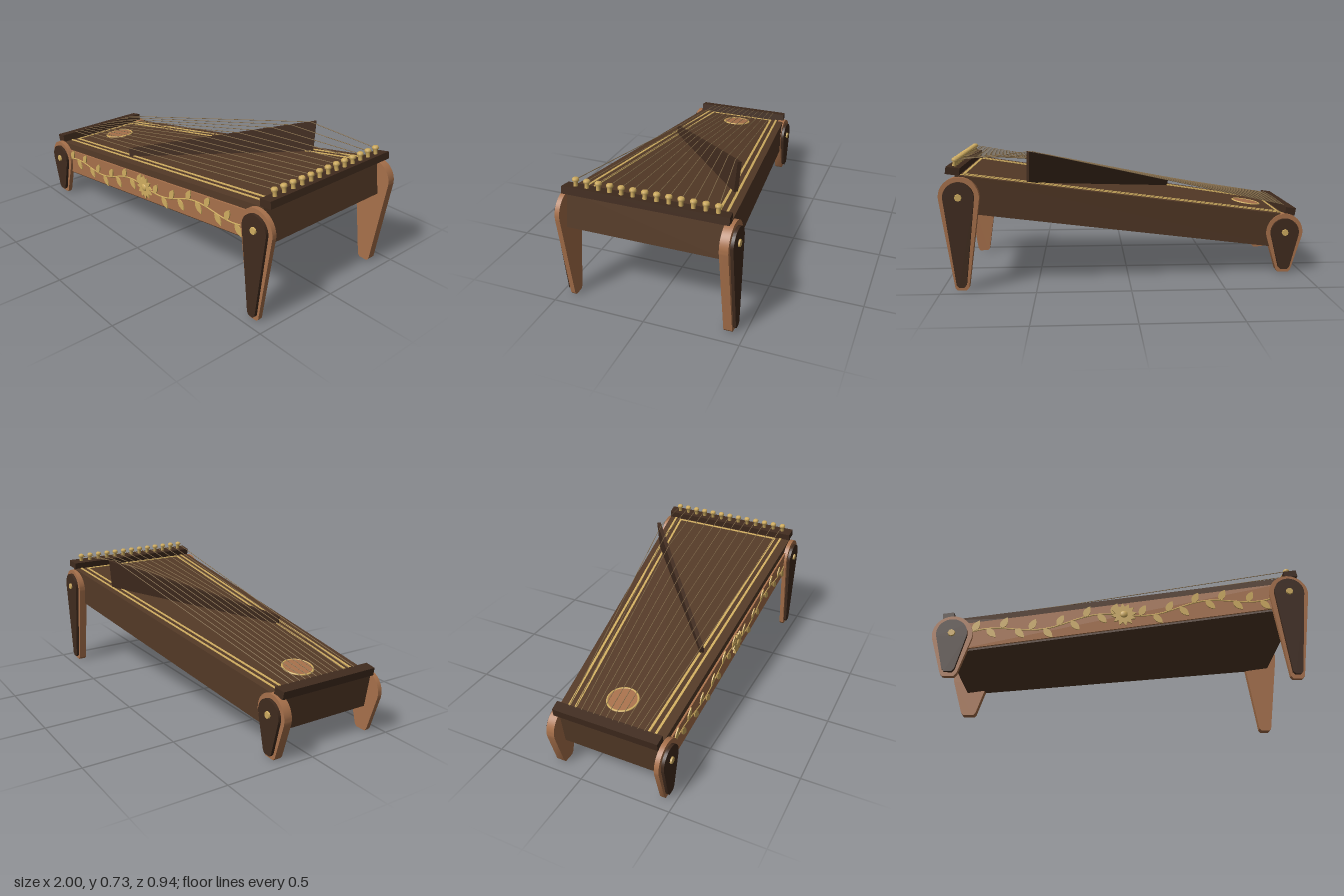
import * as THREE from 'three';
import { toCreasedNormals } from 'three/addons/utils/BufferGeometryUtils.js';

const mat = (name, color) => {
  const m = new THREE.MeshStandardMaterial({ color });
  m.name = name;
  return m;
};

export function createModel() {
  const wood = mat('walnut', 0x543a27);
  const dark = mat('dark walnut', 0x402b1e);
  const light = mat('light wood', 0xa8714b);
  const gold = mat('brass', 0xd0ad60);
  const wire = mat('string bronze', 0x8c7350);

  const model = new THREE.Group();
  model.name = 'zither';
  const body = new THREE.Group(); // sloping sound box and all it carries
  body.name = 'slopingBody';
  body.position.y = 0.375;
  body.rotation.z = 0.153;
  model.add(body);

  const add = (parent, name, geo, material, x = 0, y = 0, z = 0) => {
    const m = new THREE.Mesh(geo, material);
    m.name = name;
    m.position.set(x, y, z);
    parent.add(m);
    return m;
  };
  const extrude = (shape, depth) => toCreasedNormals(
    new THREE.ExtrudeGeometry(shape, { depth, bevelEnabled: false, curveSegments: 16 }), 0.5);
  const polygon = pts => new THREE.Shape(pts.map(p => new THREE.Vector2(...p)));

  const H = 0.097, FRONT = 0.42;
  const backZ = x => -0.295 - 0.138 * x;

  // Sound box and end bars: flat outlines raised upward
  const slab = (name, x0, x1, y0, y1, material) => {
    const g = extrude(polygon([[x0, -FRONT], [x1, -FRONT], [x1, -backZ(x1)], [x0, -backZ(x0)]]), y1 - y0);
    add(body, name, g.rotateX(-Math.PI / 2), material, 0, y0);
  };
  slab('soundBox', -0.935, 0.935, -H, H, wood);
  slab('leftBar', -0.953, -0.893, H, 0.14, dark);
  slab('tuningBar', 0.915, 0.985, H, 0.135, dark);
  add(body, 'frontPanel', new THREE.BoxGeometry(1.8, 0.145, 0.01), light, 0, -0.014, FRONT + 0.005);

  // Inlaid lines on the soundboard
  const strip = (x0, z0, x1, z1) => {
    const len = Math.hypot(x1 - x0, z1 - z0);
    const m = add(body, 'inlay', new THREE.BoxGeometry(len + 0.012, 0.004, 0.013), gold,
      (x0 + x1) / 2, H + 0.001, (z0 + z1) / 2);
    m.rotation.y = -Math.atan2(z1 - z0, x1 - x0);
  };
  strip(-0.895, 0.364, 0.91, 0.364);
  strip(-0.895, -0.122, 0.91, -0.38);
  const corners = [[-0.87, 0.327], [0.9, 0.327], [0.9, -0.34], [-0.87, -0.088]];
  corners.forEach((c, i) => strip(...c, ...corners[(i + 1) % 4]));

  // Sound rosette
  add(body, 'rosette', new THREE.CylinderGeometry(0.078, 0.078, 0.005, 40), light, -0.725, H + 0.001, 0.107);
  add(body, 'rosetteRing', new THREE.TorusGeometry(0.08, 0.006, 8, 40).rotateX(Math.PI / 2), gold, -0.725, H, 0.107);

  // Diagonal wedge bridge, rising towards the back
  const A = new THREE.Vector2(-0.26, 0.336), B = new THREE.Vector2(0.567, -0.32);
  const L = A.distanceTo(B), h0 = 0.045, h1 = 0.166;
  const wedge = extrude(polygon([[0, 0], [L, 0], [L + 0.025, h1], [0, h0]]), 0.022).translate(0, 0, -0.011);
  add(body, 'bridge', wedge, dark, A.x, H, A.y).rotation.y = -Math.atan2(B.y - A.y, B.x - A.x);

  // Thirteen strings and tuning pins
  const pin = new THREE.LatheGeometry([[0.011, 0], [0.011, 0.024], [0.017, 0.028], [0.017, 0.038], [0.012, 0.044], [0, 0.044]]
    .map(p => new THREE.Vector2(...p)), 12);
  const rod = (p, q) => {
    const d = q.clone().sub(p);
    const m = add(body, 'string', new THREE.CylinderGeometry(0.002, 0.002, d.length(), 6), wire);
    m.position.copy(p).add(q).multiplyScalar(0.5);
    m.quaternion.setFromUnitVectors(new THREE.Vector3(0, 1, 0), d.normalize());
  };
  for (let i = 0; i < 13; i++) {
    const zr = 0.36 - 0.0604 * i, zl = 0.325 - 0.035 * i;
    add(body, 'tuningPin', pin, gold, 0.952, 0.134, zr);
    const x0 = -0.9, x1 = 0.945, s = (zr - zl) / (x1 - x0);
    // where this string crosses the bridge in plan
    const dx = B.x - A.x, dz = B.y - A.y;
    const t = THREE.MathUtils.clamp((zl + s * (A.x - x0) - A.y) / (dz - s * dx), 0, 1);
    const top = new THREE.Vector3(A.x + dx * t + 0.02 * t, H + h0 + (h1 - h0) * t + 0.002, A.y + dz * t);
    rod(new THREE.Vector3(x0, 0.142, zl), top);
    rod(top, new THREE.Vector3(x1, 0.168, zr));
  }

  // Vine with leaves and a central flower on the front panel
  const vineY = x => -0.01 - 0.022 * Math.sin(x * Math.PI * 2 / 0.587);
  const Z = FRONT + 0.01;
  const pts = [];
  for (let x = -0.82; x <= 0.821; x += 0.04) pts.push(new THREE.Vector3(x, vineY(x), Z));
  add(body, 'vineStem', new THREE.TubeGeometry(new THREE.CatmullRomCurve3(pts), 120, 0.0045, 6), gold);

  const leafShape = new THREE.Shape();
  leafShape.moveTo(0, 0);
  leafShape.quadraticCurveTo(0.028, 0.036, 0.07, 0);
  leafShape.quadraticCurveTo(0.028, -0.036, 0, 0);
  const leaf = extrude(leafShape, 0.008);
  for (let i = 0; i < 22; i++) {
    const x = -0.8 + i * 0.0735;
    if (Math.abs(x) < 0.06) continue;
    const m = add(body, 'leaf', leaf, gold, x, vineY(x), Z - 0.002);
    m.rotation.z = (i % 2 ? -1 : 1) * 0.95;
  }
  const star = [];
  for (let i = 0; i < 24; i++) {
    const a = i * Math.PI / 12, r = i % 2 ? 0.046 : 0.068;
    star.push([r * Math.cos(a), r * Math.sin(a)]);
  }
  add(body, 'flower', extrude(polygon(star), 0.009), gold, 0, -0.01, Z - 0.001);
  add(body, 'flowerCentre', new THREE.SphereGeometry(0.02, 16, 8).scale(1, 1, 0.4), gold, 0, -0.01, Z + 0.008);

  // Teardrop legs, upright, with a dark face plate and a brass boss
  const tear = (r, w, h) => {
    const a = Math.atan((r - w) / h), s = new THREE.Shape();
    s.absarc(0, 0, r, -a, Math.PI + a, false);
    s.lineTo(-w, -h + 0.014);
    s.lineTo(-w + 0.012, -h);
    s.lineTo(w - 0.012, -h);
    s.lineTo(w, -h + 0.014);
    s.closePath();
    return s;
  };
  const leg = (name, x, y, z, depth, dir, foot) => {
    const g = new THREE.Group();
    g.name = name;
    g.position.set(x, y, z);
    if (dir < 0) g.rotation.y = Math.PI;
    model.add(g);
    add(g, 'legBlock', extrude(tear(0.105, foot, y), depth), light);
    add(g, 'legPlate', extrude(tear(0.08, foot - 0.01, y - 0.02), 0.016), dark, 0, 0, depth);
    add(g, 'legBoss', new THREE.CylinderGeometry(0.018, 0.02, 0.01, 8).rotateX(Math.PI / 2), gold, 0, 0, depth + 0.02);
  };
  leg('frontRightLeg', -0.895, 0.235, 0.42, 0.025, 1, 0.042);
  leg('frontLeftLeg', 0.893, 0.5, 0.42, 0.025, 1, 0.036);
  leg('backRightLeg', -0.895, 0.235, -0.14, 0.045, -1, 0.042);
  leg('backLeftLeg', 0.893, 0.5, -0.395, 0.045, -1, 0.036);

  return model;
}
